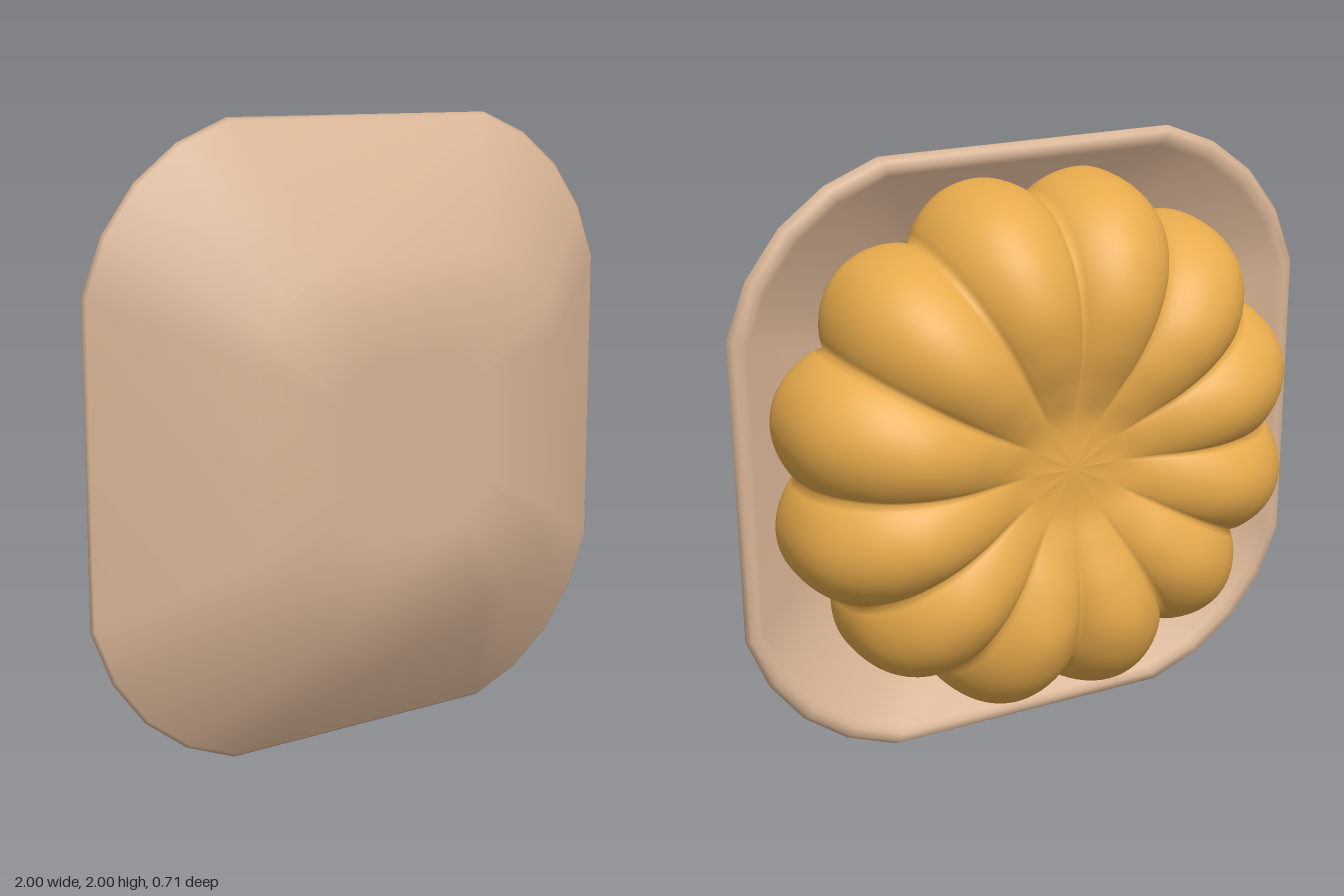
import * as THREE from 'three';

// Closed skin over rings of points; rings run outward on the +z side and back in on the -z side.
function skin(ringCount, sides, pointAt) {
  const positions = [];
  const index = [];
  for (let i = 0; i < ringCount; i++) {
    for (let j = 0; j < sides; j++) {
      positions.push(...pointAt(i, j));
      if (i === ringCount - 1) continue;
      const k = (j + 1) % sides;
      const a = i * sides + j, b = i * sides + k;
      const d = a + sides, c = b + sides;
      index.push(a, d, b, d, c, b);
    }
  }
  const geometry = new THREE.BufferGeometry();
  geometry.setAttribute('position', new THREE.Float32BufferAttribute(positions, 3));
  geometry.setIndex(index);
  geometry.computeVertexNormals();
  return geometry;
}

// Rounded-square outline: one faceted corner turned four times.
function trayOutline() {
  const corner = [[1, 0.5], [0.93, 0.675], [0.82, 0.82], [0.675, 0.93], [0.5, 1]];
  const points = [];
  for (let q = 0; q < 4; q++) {
    const c = Math.round(Math.cos(q * Math.PI / 2));
    const s = Math.round(Math.sin(q * Math.PI / 2));
    for (const [x, y] of corner) points.push([x * c - y * s, x * s + y * c]);
  }
  return points;
}

function createTray() {
  const outline = trayOutline();
  // [outline scale, z]: base, sloped wall, rim, inner wall, floor
  const rings = [
    [0, 0.355], [0.28, 0.355], [0.575, 0.355], [0.99, 0.077], [1, 0.067],
    [0.985, 0.045], [0.96, 0.042], [0.94, 0.055], [0.56, 0.31], [0.28, 0.31], [0, 0.31],
  ];
  const geometry = skin(rings.length, outline.length, (i, j) => {
    const [scale, z] = rings[i];
    return [outline[j][0] * scale, outline[j][1] * scale, z];
  });
  const tray = new THREE.Mesh(geometry, new THREE.MeshStandardMaterial({ color: 0xd9b596 }));
  tray.name = 'tray';
  return tray;
}

const spline = (points) => new THREE.CatmullRomCurve3(
  points.map(([r, z]) => new THREE.Vector3(r, z, 0)), false, 'centripetal');

function createCake() {
  // Matching [radius, z] profiles along the crest of a lobe and along a groove
  const crest = spline([
    [0, 0.29], [0.58, 0.28], [0.80, 0.2], [0.89, 0.12], [0.90, 0.04], [0.88, -0.1], [0.83, -0.2],
    [0.72, -0.3], [0.57, -0.355], [0.42, -0.34], [0.28, -0.29], [0.16, -0.25], [0, -0.25],
  ]);
  const groove = spline([
    [0, 0.29], [0.54, 0.28], [0.72, 0.2], [0.79, 0.12], [0.81, 0.04], [0.785, -0.09], [0.73, -0.175],
    [0.64, -0.25], [0.52, -0.29], [0.40, -0.295], [0.27, -0.27], [0.16, -0.25], [0, -0.25],
  ]);
  const lobes = 12, sides = lobes * 20, steps = 72;
  const profile = [];
  for (let i = 0; i <= steps; i++) {
    profile.push([crest.getPoint(i / steps), groove.getPoint(i / steps)]);
  }
  const geometry = skin(profile.length, sides, (i, j) => {
    const angle = j / sides * Math.PI * 2;
    const bulge = Math.pow(Math.abs(Math.sin(angle * lobes / 2)), 0.8);
    const [top, low] = profile[i];
    const p = low.clone().lerp(top, bulge);
    return [Math.cos(angle) * p.x, Math.sin(angle) * p.x, p.y];
  });
  const cake = new THREE.Mesh(geometry, new THREE.MeshStandardMaterial({ color: 0xe8ab4c }));
  cake.name = 'flutedCake';
  cake.position.set(-0.005, 0.02, 0);
  return cake;
}

export function createModel() {
  const model = new THREE.Group();
  model.name = 'cakeOnTray';
  // The tray stands on edge with its base to the front
  const tray = createTray();
  const cake = createCake();
  tray.position.y += 1;
  cake.position.y += 1;
  model.add(tray, cake);
  return model;
}
